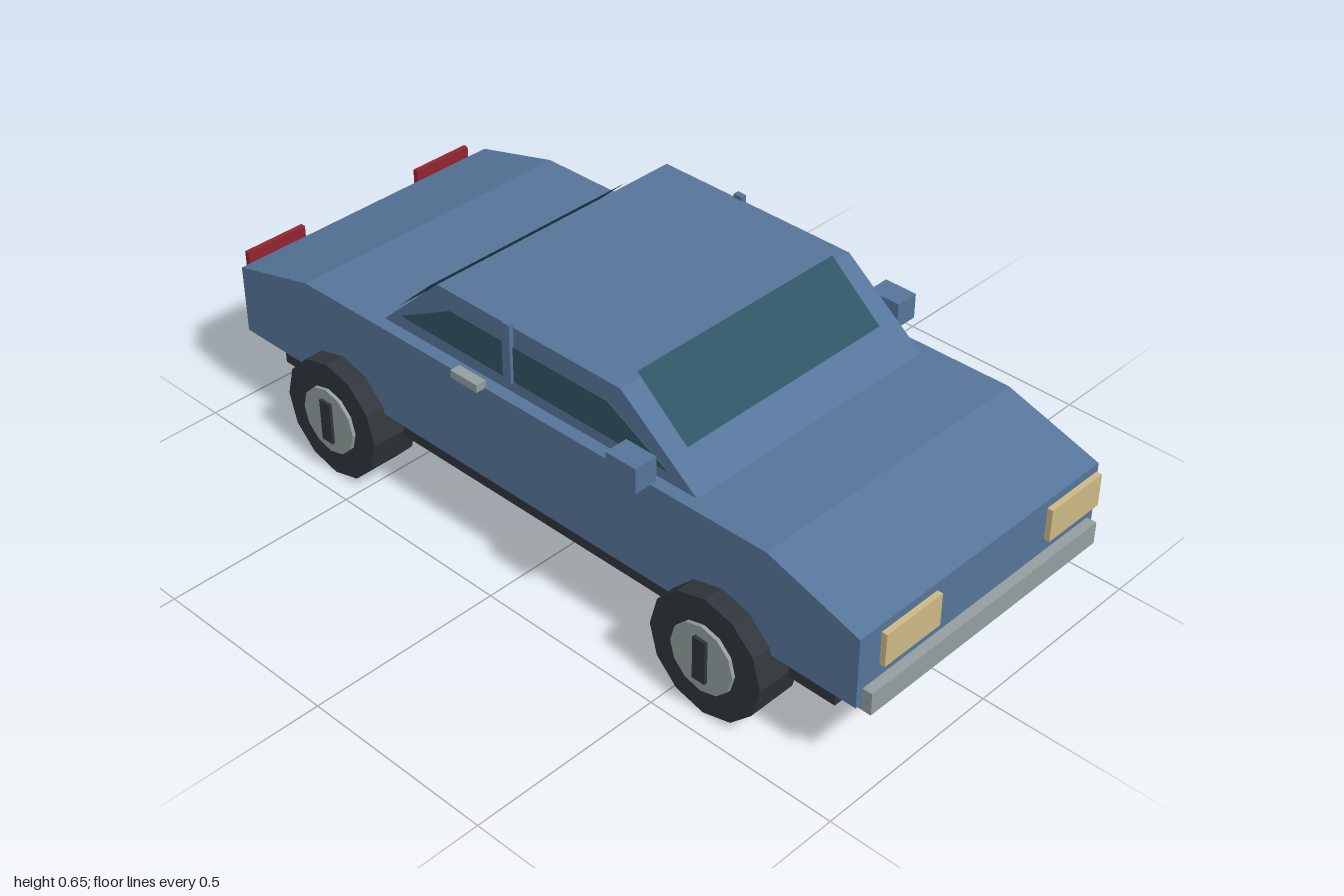
import * as THREE from 'three';

const mat = (name, color, side = THREE.FrontSide) => {
  const m = new THREE.MeshStandardMaterial({ color, side });
  m.name = name;
  return m;
};

export function createModel() {
  const paint = mat('blue paint', 0x56759a);
  const glass = mat('tinted glass', 0x305464, THREE.DoubleSide);
  const rubber = mat('dark rubber', 0x30363b);
  const metal = mat('grey metal', 0x949f9f);
  const lamp = mat('cream lamp', 0xcdb985);
  const red = mat('red lamp', 0x92242f);

  const car = new THREE.Group();
  car.name = 'car';

  const add = (name, geometry, material, x = 0, y = 0, z = 0) => {
    const mesh = new THREE.Mesh(geometry, material);
    mesh.name = name;
    mesh.position.set(x, y, z);
    car.add(mesh);
    return mesh;
  };
  // Box given by its extents on each axis
  const box = (name, material, [x0, x1], [y0, y1], [z0, z1]) =>
    add(name, new THREE.BoxGeometry(Math.abs(x1 - x0), y1 - y0, Math.abs(z1 - z0)), material,
      (x0 + x1) / 2, (y0 + y1) / 2, (z0 + z1) / 2);
  // Side profile of [z, y] points, extruded across the car's width
  const profile = (points, width) => {
    const shape = new THREE.Shape(points.map(([z, y]) => new THREE.Vector2(z, y)));
    return new THREE.ExtrudeGeometry(shape, { depth: width, bevelEnabled: false })
      .translate(0, 0, -width / 2).rotateY(-Math.PI / 2);
  };
  // Flat sloping pane between a bottom and a top [z, y] point
  const pane = (name, [zb, yb], [zt, yt], width) => {
    const g = new THREE.PlaneGeometry(width, Math.hypot(zt - zb, yt - yb));
    if (zb < 0) g.rotateY(Math.PI);
    g.rotateX(Math.atan2(zt - zb, yt - yb));
    add(name, g, glass, 0, (yb + yt) / 2, (zb + zt) / 2);
  };

  // Lower body, cabin and chassis
  add('body', profile([[-0.965, 0.215], [0.965, 0.215], [0.965, 0.395], [0.718, 0.474],
    [-0.718, 0.461], [-0.965, 0.395]], 0.792), paint);
  add('cabin', profile([[-0.476, 0.46], [0.5, 0.47], [0.28, 0.64], [-0.283, 0.64]], 0.728), paint);
  box('chassis', rubber, [-0.355, 0.355], [0.14, 0.218], [-0.88, 0.88]);

  // Windscreen and rear window
  pane('windscreen', [0.42, 0.533], [0.276, 0.655], 0.62);
  pane('rearWindow', [-0.485, 0.466], [-0.37, 0.574], 0.62);

  // Bumpers
  box('frontBumper', metal, [-0.378, 0.378], [0.2, 0.257], [0.957, 0.99]);
  box('rearBumper', metal, [-0.378, 0.378], [0.2, 0.257], [-0.99, -0.957]);

  // Parts that repeat on both sides
  for (const [side, s] of [['left', 1], ['right', -1]]) {
    add(side + 'SideWindow', profile([[-0.41, 0.5], [0.42, 0.5], [0.245, 0.592], [-0.24, 0.592]], 0.006),
      glass, s * 0.365);
    box(side + 'Pillar', paint, [s * 0.36, s * 0.376], [0.498, 0.65], [-0.066, -0.041]);
    box(side + 'DoorHandle', metal, [s * 0.39, s * 0.417], [0.463, 0.483], [-0.192, -0.108]);
    box(side + 'Mirror', paint, [s * 0.39, s * 0.451], [0.483, 0.547], [0.322, 0.408]);
    box(side + 'Headlight', lamp, [s * 0.183, s * 0.357], [0.322, 0.405], [0.986, 1]);
    box(side + 'TailLight', red, [s * 0.183, s * 0.357], [0.325, 0.408], [-1, -0.986]);

    // Wheel, hubcap and hub bar
    for (const [end, z] of [['Front', 0.6], ['Rear', -0.6]]) {
      const disc = (name, radius, x0, x1, material) => {
        const g = new THREE.CylinderGeometry(radius, radius, x1 - x0, 12).rotateZ(Math.PI / 2).toNonIndexed();
        g.computeVertexNormals();
        add(side + end + name, g, material, s * (x0 + x1) / 2, 0.156, z);
      };
      disc('Wheel', 0.156, 0.318, 0.446, rubber);
      disc('Hubcap', 0.088, 0.44, 0.455, metal);
      box(side + end + 'HubBar', rubber, [s * 0.45, s * 0.463], [0.1, 0.213], [z - 0.018, z + 0.018]);
    }
  }
  return car;
}
